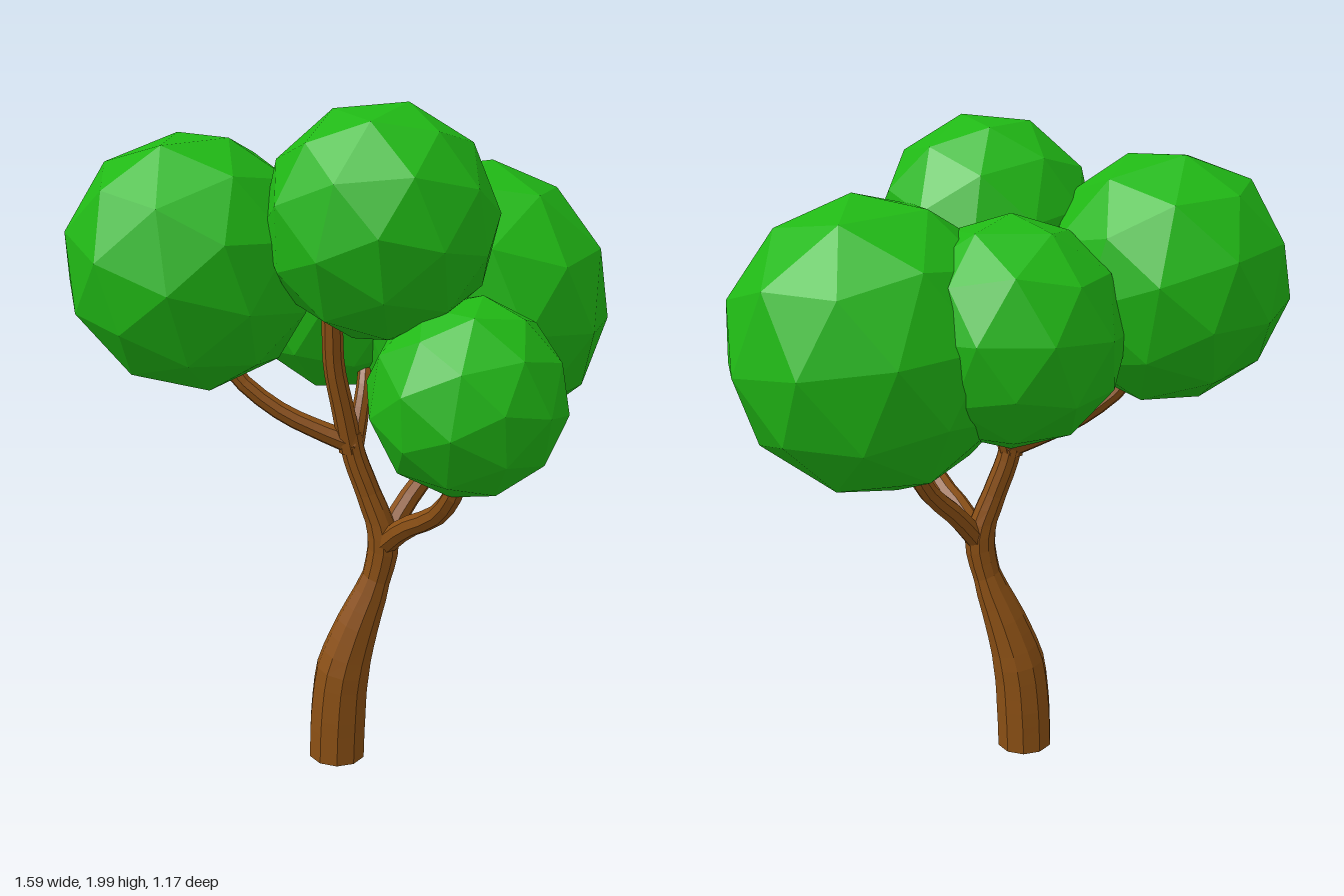
import * as THREE from 'three';

const bark = new THREE.MeshStandardMaterial({ color: 0x8a4f14, flatShading: true });
const leaf = new THREE.MeshStandardMaterial({ color: 0x20b815, flatShading: true });

// Tapered limb: each path point is [x, y, z, radius]; both ends are closed
function limb(name, path, sides = 8, rings = 12) {
  const curve = new THREE.CatmullRomCurve3(path.map(([x, y, z]) => new THREE.Vector3(x, y, z)));
  const geo = new THREE.TubeGeometry(curve, rings, 1, sides);
  const pos = geo.attributes.position, dir = geo.attributes.normal;
  const centre = new THREE.Vector3();
  for (let i = 0; i <= rings; i++) {
    const t = THREE.MathUtils.clamp((i - 1) / (rings - 2), 0, 1);
    curve.getPoint(t, centre);
    const k = Math.min(Math.floor(t * (path.length - 1)), path.length - 2);
    const f = t * (path.length - 1) - k;
    const r = i === 0 || i === rings ? 0 : THREE.MathUtils.lerp(path[k][3], path[k + 1][3], f);
    for (let j = 0; j <= sides; j++) {
      const v = i * (sides + 1) + j;
      pos.setXYZ(v, centre.x + dir.getX(v) * r, centre.y + dir.getY(v) * r, centre.z + dir.getZ(v) * r);
    }
  }
  geo.computeVertexNormals();
  const mesh = new THREE.Mesh(geo, bark);
  mesh.name = name;
  return mesh;
}

// Faceted ball of leaves
function foliage(name, x, y, z, radius, turn) {
  const mesh = new THREE.Mesh(new THREE.IcosahedronGeometry(radius, 1), leaf);
  mesh.position.set(x, y, z);
  mesh.rotation.set(...turn);
  mesh.name = name;
  return mesh;
}

export function createModel() {
  const tree = new THREE.Group();
  tree.name = 'tree';

  // Trunk, leaning and then bending back above the fork
  tree.add(limb('trunk', [
    [-0.035, 0.01, 0.087, 0.088], [-0.03, 0.15, 0.087, 0.088], [-0.015, 0.3, 0.087, 0.084],
    [0.03, 0.45, 0.087, 0.066], [0.085, 0.6, 0.087, 0.045], [0.105, 0.73, 0.087, 0.05],
    [0.06, 0.87, 0.087, 0.038], [0.02, 0.98, 0.087, 0.036], [0.005, 1.05, 0.087, 0.036],
  ], 10, 26));

  // Branches
  tree.add(
    limb('rightFrontBranch', [[0.1, 0.7, 0.09, 0.035], [0.165, 0.785, 0.165, 0.033],
      [0.25, 0.86, 0.26, 0.03], [0.295, 0.97, 0.345, 0.028], [0.31, 1.08, 0.36, 0.025]]),
    limb('rightBackBranch', [[0.1, 0.7, 0.085, 0.035], [0.17, 0.81, 0.03, 0.033],
      [0.25, 0.91, -0.03, 0.03], [0.29, 1.01, -0.07, 0.028], [0.31, 1.12, -0.1, 0.026]]),
    limb('leftBranch', [[0.02, 1.02, 0.087, 0.036], [-0.08, 1.06, 0.085, 0.03],
      [-0.2, 1.12, 0.08, 0.027], [-0.32, 1.22, 0.07, 0.025], [-0.38, 1.32, 0.065, 0.022]]),
    limb('topBranch', [[0.01, 1.0, 0.087, 0.036], [-0.015, 1.13, 0.1, 0.033],
      [-0.04, 1.26, 0.115, 0.031], [-0.045, 1.4, 0.13, 0.03]]),
    limb('backBranch', [[0.015, 1.0, 0.085, 0.03], [0.035, 1.1, 0.06, 0.026],
      [0.05, 1.2, 0.02, 0.022], [0.05, 1.3, -0.06, 0.02]]),
  );

  // Crown
  tree.add(
    foliage('leftFoliage', -0.435, 1.55, 0.065, 0.365, [0.3, 0.5, 0.2]),
    foliage('topFoliage', 0.085, 1.678, 0.215, 0.325, [0.55, 0, 0.1]),
    foliage('rightFoliage', 0.375, 1.395, -0.18, 0.422, [0.2, 0.9, 0.35]),
    foliage('frontFoliage', 0.32, 1.218, 0.315, 0.28, [0.5, 0.3, 0]),
    foliage('backFoliage', -0.005, 1.44, -0.2, 0.324, [0.1, 0.4, 0.55]),
  );
  return tree;
}
